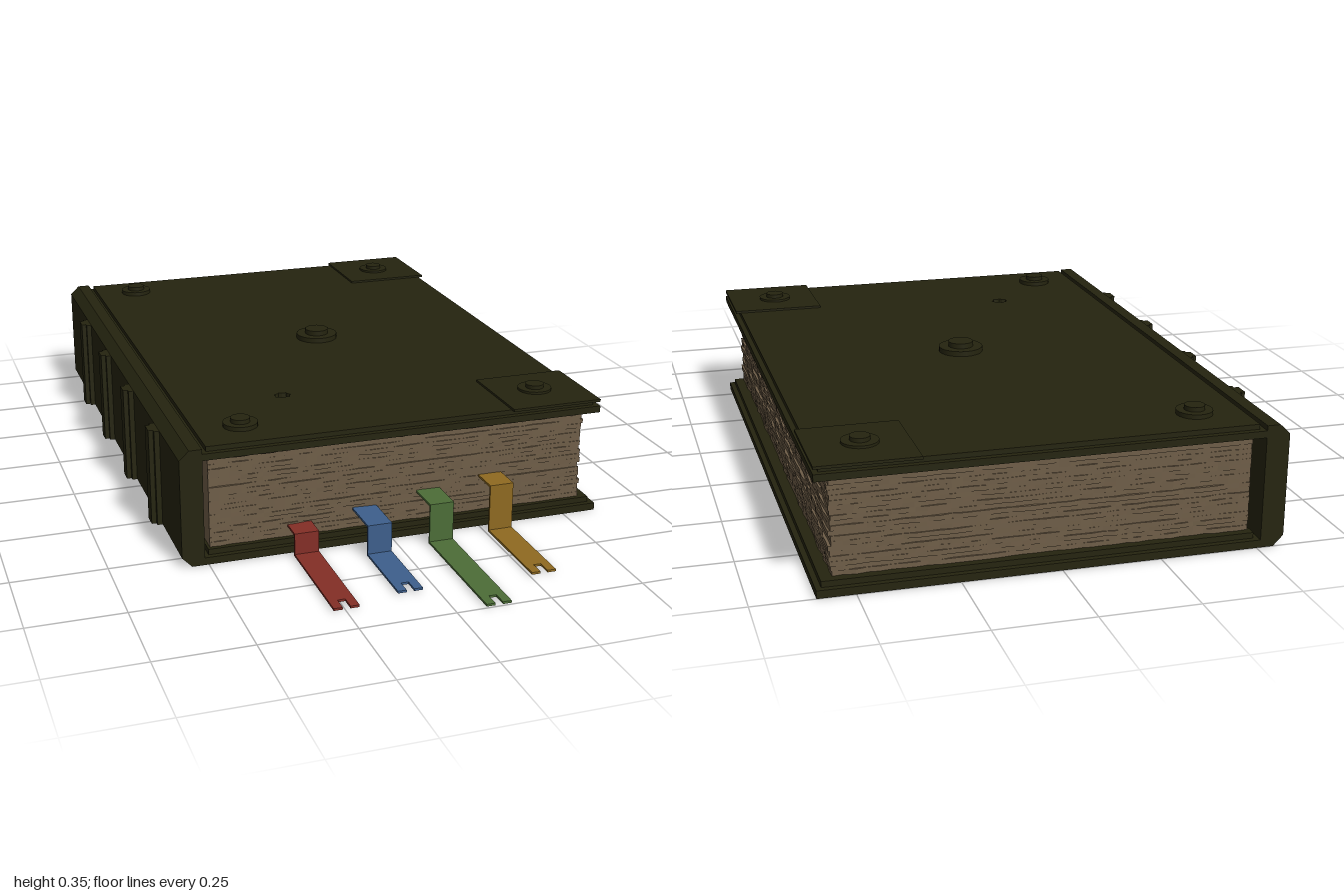
import * as THREE from 'three';

const mat = (name, color, side = THREE.FrontSide) => {
  const m = new THREE.MeshStandardMaterial({ color, side });
  m.name = name;
  return m;
};

// Extent of the boards in z
const ZB = -1, ZF = 0.557;

export function createModel() {
  const book = new THREE.Group();
  book.name = 'book';
  const leather = mat('dark leather', 0x25240f);
  const paper = mat('aged paper', 0x6f5e48);

  let seed = 7;
  const rand = () => {
    seed = (seed * 16807) % 2147483647;
    return seed / 2147483647;
  };

  const add = (name, geometry, material, parent = book) => {
    const mesh = new THREE.Mesh(geometry, material);
    mesh.name = name;
    parent.add(mesh);
    return mesh;
  };
  // Box given by its limits
  const box = (name, x0, x1, y0, y1, z0, z1, material, parent) => {
    const mesh = add(name, new THREE.BoxGeometry(x1 - x0, y1 - y0, z1 - z0), material, parent);
    mesh.position.set((x0 + x1) / 2, (y0 + y1) / 2, (z0 + z1) / 2);
    return mesh;
  };
  // Plan outline (x, -z) raised from y0 to y1
  const slab = (name, shape, y0, y1, material, parent) => {
    const g = new THREE.ExtrudeGeometry(shape, { depth: y1 - y0, bevelEnabled: false });
    g.rotateX(-Math.PI / 2);
    g.translate(0, y0, 0);
    return add(name, g, material, parent);
  };
  const rect = (x0, x1, z0, z1) => new THREE.Shape([
    new THREE.Vector2(x0, -z1), new THREE.Vector2(x1, -z1),
    new THREE.Vector2(x1, -z0), new THREE.Vector2(x0, -z0),
  ]);

  // Back board: outer layer and inset inner layer
  box('backBoard', -0.515, 0.594, 0, 0.02, ZB, ZF, leather);
  box('backBoardLining', -0.497, 0.58, 0.02, 0.035, ZB + 0.015, ZF - 0.015, leather);

  // Front board in two layers, pierced by a small ragged hole
  const hole = [];
  for (let i = 0; i < 14; i++) {
    const a = (i / 14) * Math.PI * 2, r = i % 2 ? 0.019 : 0.024;
    hole.push(new THREE.Vector2(-0.205 + r * Math.cos(a), -0.24 + r * 0.85 * Math.sin(a)));
  }
  const lower = rect(-0.515, 0.594, ZB, ZF);
  const upper = rect(-0.497, 0.58, ZB + 0.015, ZF - 0.015);
  for (const s of [lower, upper]) s.holes.push(new THREE.Path(hole));
  slab('frontBoard', lower, 0.287, 0.305, leather);
  slab('frontBoardTop', upper, 0.305, 0.318, leather);

  // Spine with chamfered edges
  const spine = new THREE.Shape([
    [-0.51, 0], [-0.51, 0.318], [-0.544, 0.318], [-0.57, 0.293], [-0.57, 0.027], [-0.544, 0],
  ].map(([x, y]) => new THREE.Vector2(x, y)));
  const spineGeo = new THREE.ExtrudeGeometry(spine, { depth: ZF - ZB, bevelEnabled: false });
  spineGeo.translate(0, 0, ZB);
  add('spine', spineGeo, leather);

  // Four stepped raised bands across the spine
  for (const z of [-0.665, -0.345, -0.02, 0.305]) {
    box('spineBandBase', -0.584, -0.565, 0.027, 0.293, z - 0.032, z + 0.032, leather);
    box('spineBand', -0.597, -0.58, 0.027, 0.293, z - 0.02, z + 0.02, leather);
  }

  // Page block: thin sheets with ragged edges on the three open sides
  const pages = new THREE.Group();
  pages.name = 'pages';
  book.add(pages);
  const sheets = 20, y0 = 0.035, y1 = 0.287;
  for (let i = 0; i < sheets; i++) {
    const dx = 0.552 + rand() * 0.005, zf = 0.525 + rand() * 0.004, zb = -0.962 - rand() * 0.004;
    const jag = () => (rand() - 0.5) * 0.006;
    const pts = [new THREE.Vector2(-0.49, -zf)];
    for (let k = 1; k < 36; k++) pts.push(new THREE.Vector2(-0.49 + (dx + 0.49) * k / 36, -zf + jag()));
    for (let k = 0; k <= 48; k++) pts.push(new THREE.Vector2(dx + jag(), -zf + (zf - zb) * k / 48));
    for (let k = 35; k > 0; k--) pts.push(new THREE.Vector2(-0.49 + (dx + 0.49) * k / 36, -zb + jag()));
    pts.push(new THREE.Vector2(-0.49, -zb));
    const h = (y1 - y0) / sheets;
    slab('pageLayer', new THREE.Shape(pts), y0 + i * h, y0 + (i + 1) * h, paper, pages);
  }

  // Corner plates on the opening edge
  box('cornerPlateFront', 0.34, 0.594, 0.317, 0.324, 0.305, ZF, leather);
  box('cornerPlateBack', 0.34, 0.594, 0.317, 0.324, ZB, -0.748, leather);

  // Studs: wide base disc with a smaller cap
  const stud = (x, z, y, r, rc, top) => {
    const g = new THREE.Group();
    g.name = 'stud';
    const mid = y + (top - y) * 0.5;
    add('studBase', new THREE.CylinderGeometry(r, r, mid - y, 24), leather, g).position.y = (y + mid) / 2;
    add('studCap', new THREE.CylinderGeometry(rc, rc, top - mid, 20), leather, g).position.y = (mid + top) / 2;
    g.position.set(x, 0, z);
    book.add(g);
  };
  for (const z of [-0.87, 0.425]) {
    stud(-0.375, z, 0.318, 0.046, 0.026, 0.341);
    stud(0.46, z, 0.32, 0.046, 0.025, 0.341);
  }
  stud(0.043, -0.222, 0.318, 0.06, 0.034, 0.346);

  // Ribbon bookmarks: out of the pages, down, then along the ground to a notched end
  const ribbon = (name, color, x, y, zDrop, zEnd) => {
    const m = mat(name, color), g = new THREE.Group(), w = 0.033, t = 0.006;
    g.name = name;
    book.add(g);
    box('ribbonTop', x - w, x + w, y - t, y, 0.45, zDrop, m, g);
    box('ribbonDrop', x - w, x + w, 0.004, y, zDrop - t, zDrop, m, g);
    const tail = new THREE.Shape([
      [-w, zDrop - t], [-w, zEnd], [-0.01, zEnd], [-0.01, zEnd - 0.04],
      [0.01, zEnd - 0.04], [0.01, zEnd], [w, zEnd], [w, zDrop - t],
    ].map(([dx, z]) => new THREE.Vector2(x + dx, -z)));
    slab('ribbonTail', tail, 0.004, 0.004 + t, m, g);
  };
  ribbon('red ribbon', 0x842e26, -0.248, 0.068, 0.591, 0.905);
  ribbon('blue ribbon', 0x3d5f8c, -0.069, 0.09, 0.648, 0.868);
  ribbon('green ribbon', 0x4c6d37, 0.11, 0.116, 0.629, 1.0);
  ribbon('gold ribbon', 0x8f6a20, 0.288, 0.138, 0.61, 0.878);

  return book;
}
